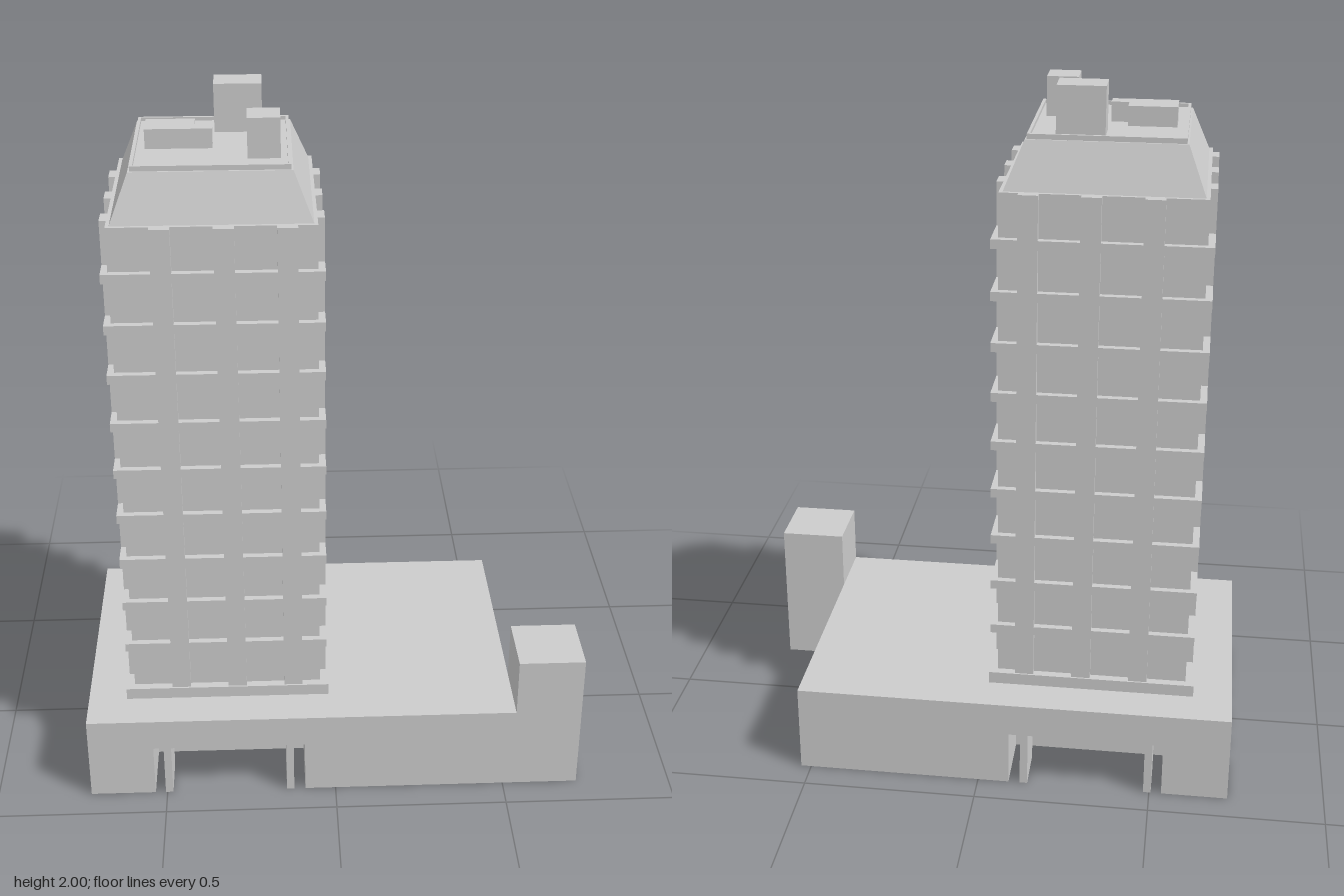
import * as THREE from 'three';

const grey = new THREE.MeshStandardMaterial({ color: 0xcccccc, flatShading: true });
const CX = -0.315; // tower axis

// Box given by its limits on each axis
function box(parent, name, x0, x1, y0, y1, z0, z1) {
  const mesh = new THREE.Mesh(new THREE.BoxGeometry(x1 - x0, y1 - y0, z1 - z0), grey);
  mesh.position.set((x0 + x1) / 2, (y0 + y1) / 2, (z0 + z1) / 2);
  mesh.name = name;
  parent.add(mesh);
  return mesh;
}

// Square box centred on the tower axis
const square = (parent, name, half, y0, y1) =>
  box(parent, name, CX - half, CX + half, y0, y1, -half, half);

function group(parent, name) {
  const g = new THREE.Group();
  g.name = name;
  parent.add(g);
  return g;
}

function buildPodium(root) {
  const podium = group(root, 'podium');
  const H = 0.163;
  box(podium, 'podiumUpperStorey', -0.725, 0.53, H, 0.26, -0.415, 0.412);
  box(podium, 'cornerBlock', 0.53, 0.722, 0, 0.435, 0.222, 0.412);
  box(podium, 'lobbyCore', -0.535, -0.09, 0, H, -0.225, 0.225);

  for (const s of [1, -1]) {
    // Ground floor walls and entrance posts, front and back
    const outer = s > 0 ? 0.412 : 0.415;
    const wall = (name, x0, x1, inner) =>
      box(podium, name, x0, x1, 0, H, Math.min(s * inner, s * outer), Math.max(s * inner, s * outer));
    wall('groundWall', -0.725, -0.535, 0.225);
    wall('groundWall', -0.09, 0.53, 0.225);
    wall('entrancePost', -0.505, -0.483, 0.28);
    wall('entrancePost', -0.145, -0.123, 0.28);
  }

  // Fins between the openings on both ends of the lobby
  for (const [z, w] of [[-0.14, 0.055], [0, 0.113], [0.14, 0.055]]) {
    box(podium, 'leftFin', -0.725, -0.535, 0, H, z - w / 2, z + w / 2);
    box(podium, 'rightFin', -0.09, 0.1, 0, H, z - w / 2, z + w / 2);
  }
}

function buildTower(root) {
  const tower = group(root, 'tower');
  const base = 0.26, top = 1.735, core = 0.274, face = 0.293;
  square(tower, 'plinth', 0.298, base, 0.295);
  square(tower, 'towerCore', core, base, top);

  // Floor bands
  for (let i = 0; i < 9; i++) {
    const y = 0.44 + i * 0.145;
    square(tower, 'floorBand', face, y - 0.013, y + 0.013);
  }

  // Vertical piers on all four sides
  for (const x of [-0.45, -0.285, -0.12])
    for (const s of [1, -1])
      box(tower, 'pier', x - 0.027, x + 0.027, base, top,
        s > 0 ? core : -face, s > 0 ? face : -core);
  for (const z of [-0.14, 0.028, 0.196])
    for (const s of [1, -1])
      box(tower, 'sidePier', CX + (s > 0 ? core : -face), CX + (s > 0 ? face : -core),
        base, top, z - 0.027, z + 0.027);
}

function buildRoof(root) {
  const roof = group(root, 'roof');
  // Sloped crown with a low lip and sunken deck: square rings of [half width, y]
  const profile = [[0.264, 1.735], [0.213, 1.862], [0.208, 1.862], [0.208, 1.876],
    [0.2, 1.876], [0.2, 1.866], [0, 1.866]];
  const points = profile.map(([h, y]) => new THREE.Vector2(h * Math.SQRT2, y));
  const lathe = new THREE.LatheGeometry(points, 4, Math.PI / 4).toNonIndexed();
  lathe.computeVertexNormals();
  const crown = new THREE.Mesh(lathe, grey);
  crown.name = 'slopedCrown';
  crown.position.x = CX;
  roof.add(crown);

  // Rooftop plant
  const y = 1.86;
  box(roof, 'tallPlantRoom', -0.31, -0.18, y, 2.0, -0.182, -0.094);
  box(roof, 'smallPlantRoom', -0.22, -0.133, y, 1.975, 0.043, 0.13);
  box(roof, 'lowPlantRoom', -0.492, -0.36, y, 1.92, -0.046, 0.042);
  box(roof, 'lowPlantRoomWing', -0.36, -0.313, y, 1.92, 0, 0.042);
}

export function createModel() {
  const root = new THREE.Group();
  root.name = 'towerBlock';
  buildPodium(root);
  buildTower(root);
  buildRoof(root);
  return root;
}
